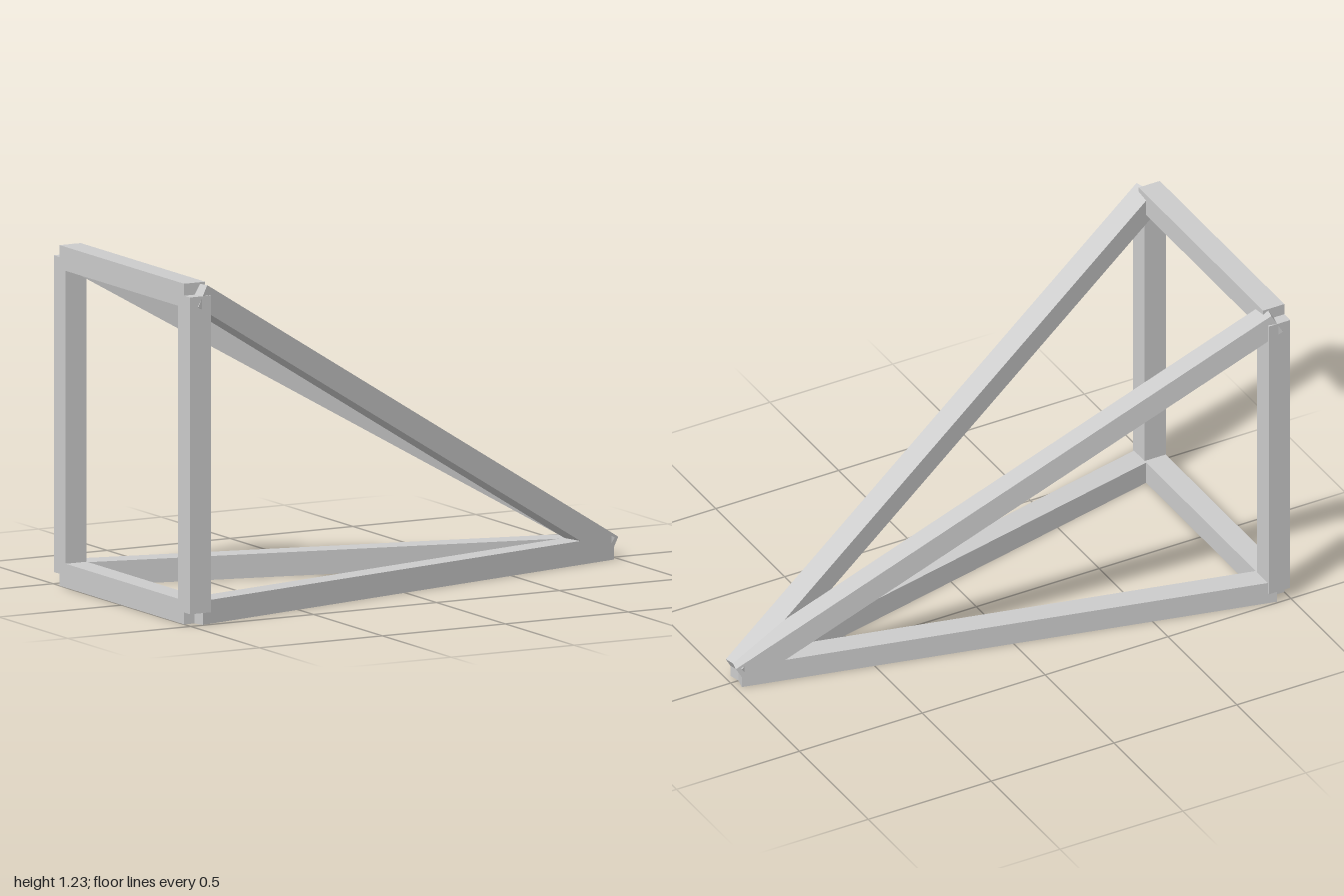
import * as THREE from 'three';

const W = 0.086; // square bar thickness

// Square bar from a to b; its sideways axis stays horizontal
function bar(name, a, b, material) {
  const along = b.clone().sub(a);
  const length = along.length();
  along.normalize();
  const hint = Math.abs(along.y) > 0.99 ? new THREE.Vector3(1, 0, 0) : new THREE.Vector3(0, 1, 0);
  const side = new THREE.Vector3().crossVectors(hint, along).normalize();
  const up = new THREE.Vector3().crossVectors(along, side);
  const mesh = new THREE.Mesh(new THREE.BoxGeometry(W, W, length), material);
  mesh.quaternion.setFromRotationMatrix(new THREE.Matrix4().makeBasis(side, up, along));
  mesh.position.copy(a).lerp(b, 0.5);
  mesh.name = name;
  return mesh;
}

export function createModel() {
  const group = new THREE.Group();
  group.name = 'pyramidFrame';
  const material = new THREE.MeshStandardMaterial({ color: 0xcccccc, flatShading: true });

  const X = -0.957, Z = 0.452, low = 0.043, high = 1.185;
  const apex = new THREE.Vector3(0.968, low, 0);
  const corner = (y, s) => new THREE.Vector3(X, y, s * Z);

  // Upright rectangle: crossbars
  group.add(bar('bottomCrossbar', corner(low, -1), corner(low, 1), material));
  group.add(bar('topCrossbar', corner(high, -1), corner(high, 1), material));

  // Mirrored posts, floor rails and sloping braces meeting at the apex
  for (const [s, label] of [[1, 'front'], [-1, 'back']]) {
    group.add(bar(label + 'Post', corner(low, s), corner(high, s), material));
    group.add(bar(label + 'FloorRail', corner(low, s), apex, material));
    group.add(bar(label + 'SlopingBrace', corner(high, s), apex, material));
  }
  return group;
}
